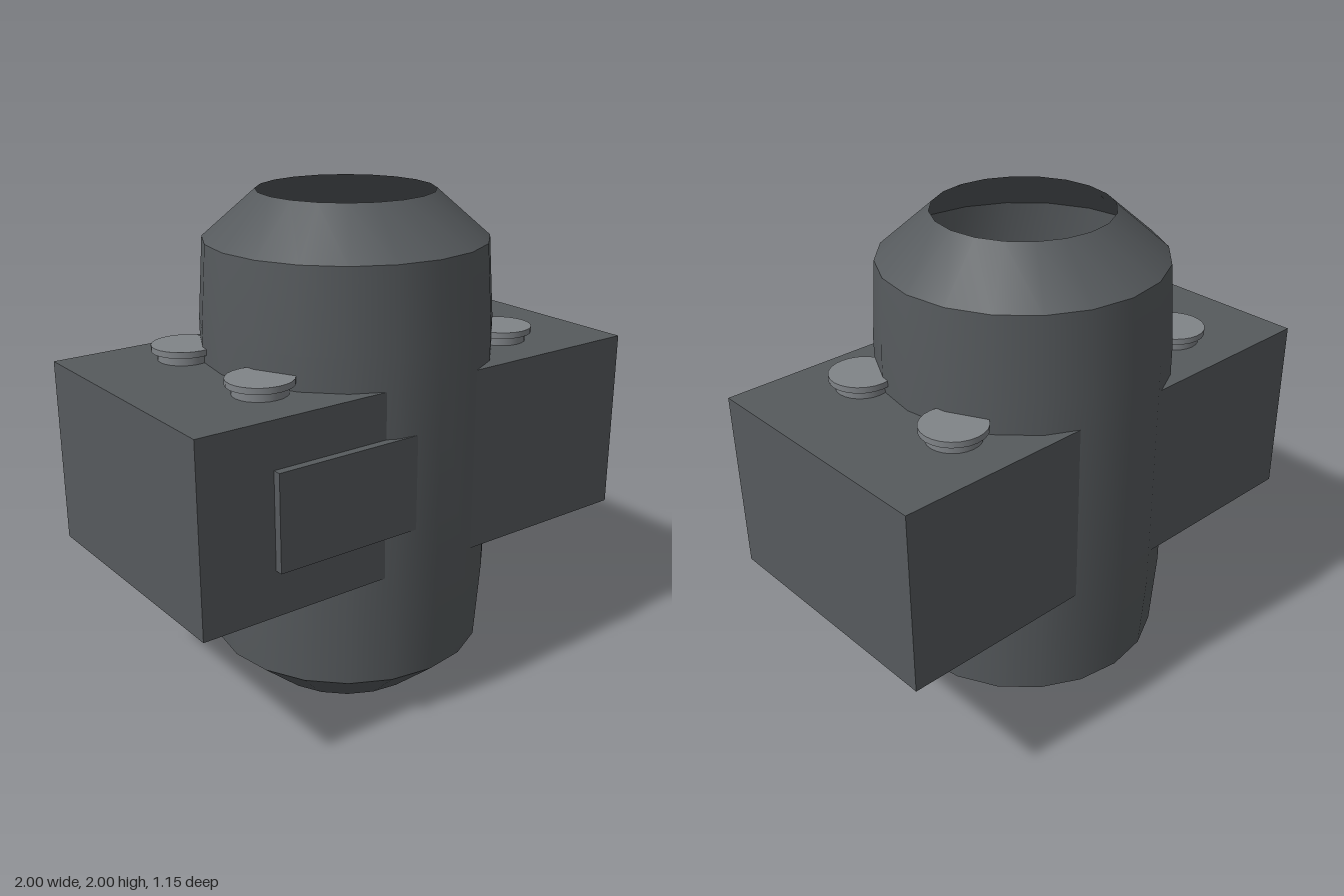
import * as THREE from 'three';
import { toCreasedNormals } from 'three/addons/utils/BufferGeometryUtils.js';

export function createModel() {
  const model = new THREE.Group();
  const darkGrey = new THREE.MeshStandardMaterial({ color: 0x565a5d, side: THREE.DoubleSide });
  darkGrey.name = 'dark grey';
  const lightGrey = new THREE.MeshStandardMaterial({ color: 0x808488 });
  lightGrey.name = 'light grey';

  function add(name, geometry, material, x = 0, y = 0, z = 0) {
    const mesh = new THREE.Mesh(geometry, material);
    mesh.name = name;
    mesh.position.set(x, y, z);
    model.add(mesh);
    return mesh;
  }

  // Open barrel with chamfered ends, seen from inside through both openings
  const profile = [[0.345, 0], [0.553, 0.18], [0.575, 0.5], [0.575, 1.5], [0.553, 1.82], [0.345, 2]]
    .map(([r, y]) => new THREE.Vector2(r, y));
  add('barrel', toCreasedNormals(new THREE.LatheGeometry(profile, 20), 0.6), darkGrey);

  // Block running through the barrel, with a raised panel on the front
  add('crossBlock', new THREE.BoxGeometry(2, 0.735, 1.055), darkGrey, 0, 1.0025, 0);
  add('frontPanel', new THREE.BoxGeometry(0.7, 0.375, 0.06), darkGrey, -0.35, 1.0025, 0.53);

  // Plate slung just under the block
  add('underPlate', new THREE.BoxGeometry(1.44, 0.07, 0.82), lightGrey, 0, 0.593, 0);

  // Two rows of four buttons on top of the block
  const neck = new THREE.CylinderGeometry(0.104, 0.104, 0.04, 24);
  const cap = new THREE.CylinderGeometry(0.127, 0.127, 0.024, 24);
  for (const x of [-0.578, -0.193, 0.193, 0.578]) {
    for (const z of [-0.265, 0.265]) {
      add('buttonNeck', neck, lightGrey, x, 1.385, z);
      add('buttonCap', cap, lightGrey, x, 1.417, z);
    }
  }
  return model;
}
